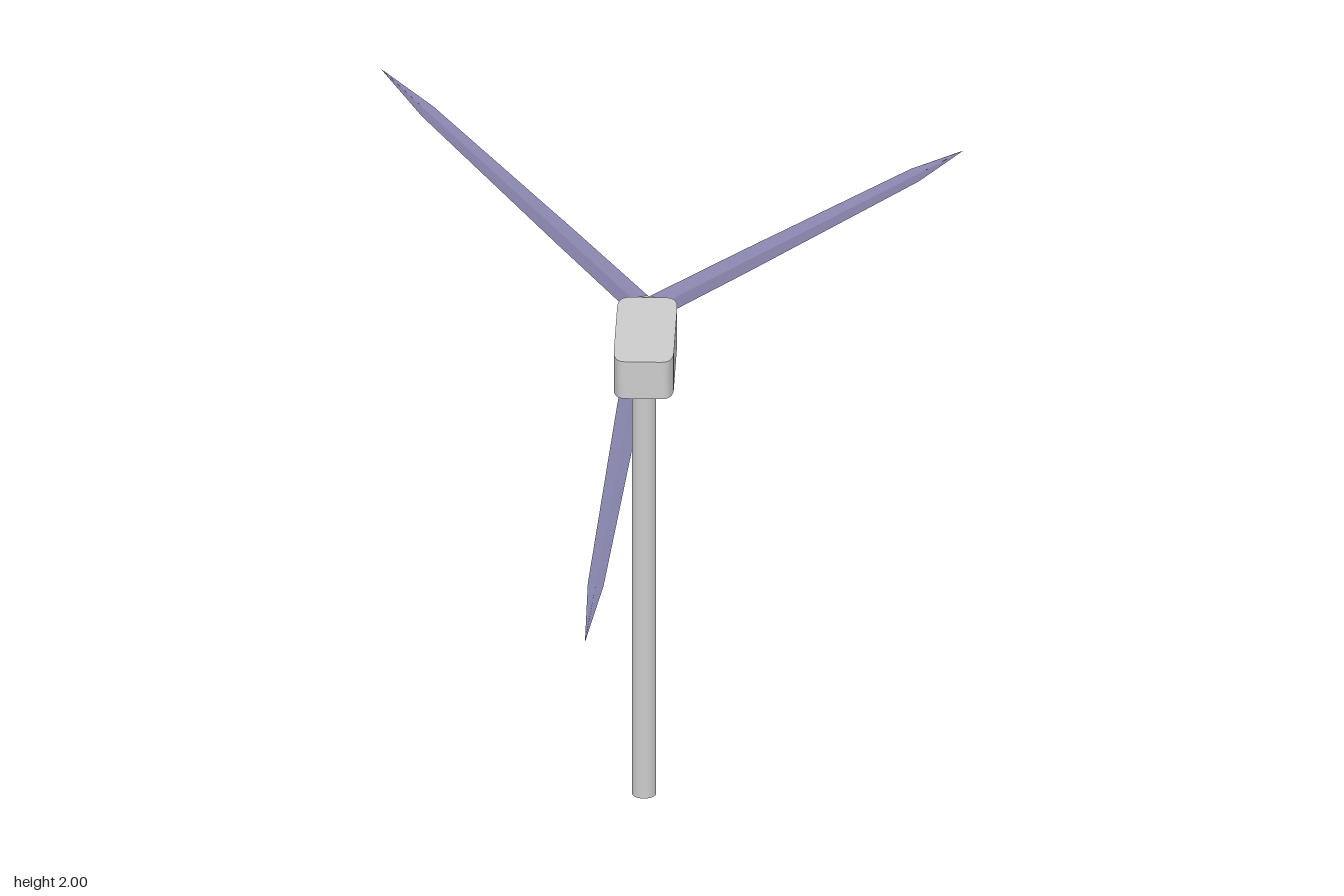
import * as THREE from 'three';
import { toCreasedNormals } from 'three/addons/utils/BufferGeometryUtils.js';

const AXIS_X = -0.067, HUB_Y = 1.306;

// Blade along +y: thin diamond sections that taper to a point
function bladeGeometry(length) {
  const sections = [ // distance, half width, half thickness
    [0.0, 0.034, 0.005], [0.3, 0.031, 0.004], [0.815, 0.021, 0.003], [length, 0.0005, 0.0005],
  ];
  const pos = [], index = [];
  for (const [y, w, t] of sections) pos.push(w, y, 0, 0, y, t, -w, y, 0, 0, y, -t);
  for (let s = 0; s < sections.length - 1; s++) {
    for (let i = 0; i < 4; i++) {
      const a = s * 4 + i, b = s * 4 + (i + 1) % 4;
      index.push(a, a + 4, b, b, a + 4, b + 4);
    }
  }
  const last = (sections.length - 1) * 4;
  index.push(0, 1, 2, 0, 2, 3, last, last + 2, last + 1, last, last + 3, last + 2);
  const g = new THREE.BufferGeometry();
  g.setAttribute('position', new THREE.Float32BufferAttribute(pos, 3));
  g.setIndex(index);
  return toCreasedNormals(g, 0.1);
}

// Plan outline of the housing with long, softly rounded corners
function housingGeometry(w, d, h) {
  const x = w / 2, z = d / 2, rx = 0.032, rz = 0.06;
  const s = new THREE.Shape();
  s.moveTo(x, -z + rz);
  s.lineTo(x, z - rz);
  s.quadraticCurveTo(x, z, x - rx, z);
  s.lineTo(-x + rx, z);
  s.quadraticCurveTo(-x, z, -x, z - rz);
  s.lineTo(-x, -z + rz);
  s.quadraticCurveTo(-x, -z, -x + rx, -z);
  s.lineTo(x - rx, -z);
  s.quadraticCurveTo(x, -z, x, -z + rz);
  const g = new THREE.ExtrudeGeometry(s, { depth: h, bevelEnabled: false, curveSegments: 8 });
  g.rotateX(-Math.PI / 2);
  return toCreasedNormals(g, 0.6);
}

export function createModel() {
  const model = new THREE.Group();
  const grey = new THREE.MeshStandardMaterial({ color: 0xcccccc });
  const violet = new THREE.MeshStandardMaterial({ color: 0x9490bc });

  const add = (name, geometry, material, x, y, z, parent = model) => {
    const mesh = new THREE.Mesh(geometry, material);
    mesh.name = name;
    mesh.position.set(x, y, z);
    parent.add(mesh);
    return mesh;
  };

  // Tower and housing
  add('tower', new THREE.CylinderGeometry(0.032, 0.032, 1.26, 32), grey, AXIS_X, 0.63, 0.026);
  add('housing', housingGeometry(0.158, 0.388, 0.108), grey, AXIS_X + 0.004, 1.252, 0.032);

  // Rotor, facing the back (-z)
  const rotor = new THREE.Group();
  rotor.name = 'rotor';
  rotor.position.set(AXIS_X, HUB_Y, 0);
  model.add(rotor);

  // Hub: a blunt cone, slightly wider than tall at its base
  const hub = new THREE.CylinderGeometry(0.026, 0.06, 0.062, 32);
  hub.rotateX(-Math.PI / 2);
  hub.scale(1.08, 0.95, 1);
  add('hub', hub, grey, 0, 0, -0.197, rotor);

  // Blades at slightly uneven angles (degrees from +x) and lengths
  for (const [angle, length] of [[135.1, 0.985], [30.1, 0.96], [260.5, 0.982]]) {
    const blade = add('blade', bladeGeometry(length), violet, 0, 0, -0.191, rotor);
    blade.rotation.z = THREE.MathUtils.degToRad(angle - 90);
  }
  return model;
}
